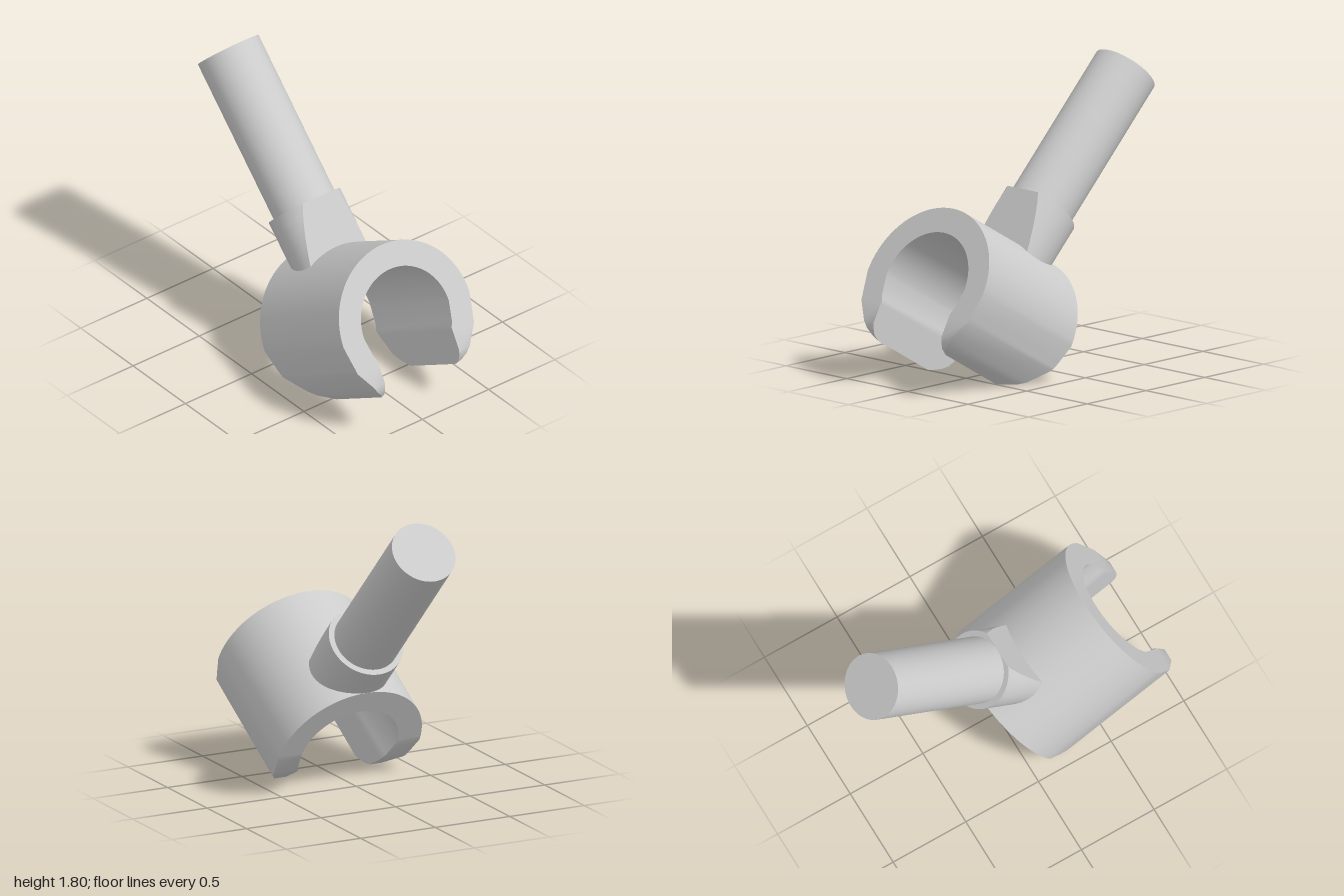
import * as THREE from 'three';
import { toCreasedNormals } from 'three/addons/utils/BufferGeometryUtils.js';

const material = new THREE.MeshStandardMaterial({ color: 0xcccccc });

// Skin closed rings of [x, y, z] points, leaving out collapsed triangles.
function loft(rings) {
  const positions = [];
  const triangle = new THREE.Triangle();
  const addTriangle = (...corners) => {
    triangle.set(...corners.map((c) => new THREE.Vector3(...c)));
    if (triangle.getArea() > 1e-8) positions.push(...corners.flat());
  };
  for (let i = 0; i < rings.length - 1; i++) {
    const a = rings[i], b = rings[i + 1], n = a.length;
    for (let j = 0; j < n; j++) {
      const k = (j + 1) % n;
      addTriangle(a[j], a[k], b[k]);
      addTriangle(a[j], b[k], b[j]);
    }
  }
  const geometry = new THREE.BufferGeometry();
  geometry.setAttribute('position', new THREE.Float32BufferAttribute(positions, 3));
  return toCreasedNormals(geometry, 0.6);
}

function part(name, geometry) {
  const mesh = new THREE.Mesh(geometry, material);
  mesh.name = name;
  return mesh;
}

// C-shaped clip: an upper half ring that runs into two tapering, rounded jaws.
function clipGeometry() {
  const outer = 0.475, inner = 0.32, depth = 0.87;
  // drop below the axis, outer x, inner x, front z, back z
  const jaw = [
    [0.122, 0.451, 0.296, 0, -0.842],
    [0.155, 0.444, 0.28, 0, -0.833],
    [0.182, 0.439, 0.28, 0, -0.82],
    [0.3, 0.36, 0.28, 0, -0.74],
    [0.336, 0.336, 0.28, -0.02, -0.69],
    [0.365, 0.302, 0.28, -0.045, -0.63],
    [0.384, 0.28, 0.28, -0.09, -0.58],
  ];
  const jawRing = (side) => ([d, xo, xi, front, back]) => [
    [side * xo, -d, front], [side * xo, -d, back],
    [side * xi, -d, back], [side * xi, -d, front],
  ];
  const rings = [...jaw].reverse().map(jawRing(1));
  const steps = 40;
  for (let i = 0; i <= steps; i++) {
    const angle = (Math.PI * i) / steps;
    const c = Math.cos(angle), s = Math.sin(angle);
    rings.push([
      [outer * c, outer * s, 0], [outer * c, outer * s, -depth],
      [inner * c, inner * s, -depth], [inner * c, inner * s, 0],
    ]);
  }
  rings.push(...jaw.map(jawRing(-1)));
  return loft(rings);
}

// Round collar whose front is sliced by a plane leaning 15 degrees to its axis.
function collarGeometry() {
  const radius = 0.235, length = 0.364, levels = 6, segments = 40;
  const centre = (y) => Array.from({ length: segments + 1 }, () => [0, y, 0]);
  const rings = [centre(0)];
  for (let i = 0; i <= levels; i++) {
    const drop = (length * i) / levels;
    const start = Math.acos((0.2 - drop * Math.tan(Math.PI / 12)) / radius);
    const ring = [];
    for (let j = 0; j <= segments; j++) {
      const angle = start + ((2 * Math.PI - 2 * start) * j) / segments;
      ring.push([-radius * Math.sin(angle), -drop, radius * Math.cos(angle)]);
    }
    rings.push(ring);
  }
  rings.push(centre(-length));
  return loft(rings);
}

export function createModel() {
  const model = new THREE.Group();
  model.name = 'clipOnRod';

  const clip = part('clip', clipGeometry());
  clip.position.set(0, 0.639, 0.8475);
  clip.rotation.x = -Math.PI / 6;

  // Rod and collar share an axis leaning back by 45 degrees.
  const handle = new THREE.Group();
  handle.name = 'handle';
  handle.position.set(0, 0.9325, -0.1275);
  handle.rotation.x = -Math.PI / 4;
  const rodLength = 1.029;
  const rod = part('rod', new THREE.CylinderGeometry(0.2, 0.2, rodLength, 48));
  rod.position.y = rodLength / 2;
  handle.add(rod, part('collar', collarGeometry()));

  model.add(clip, handle);
  return model;
}
